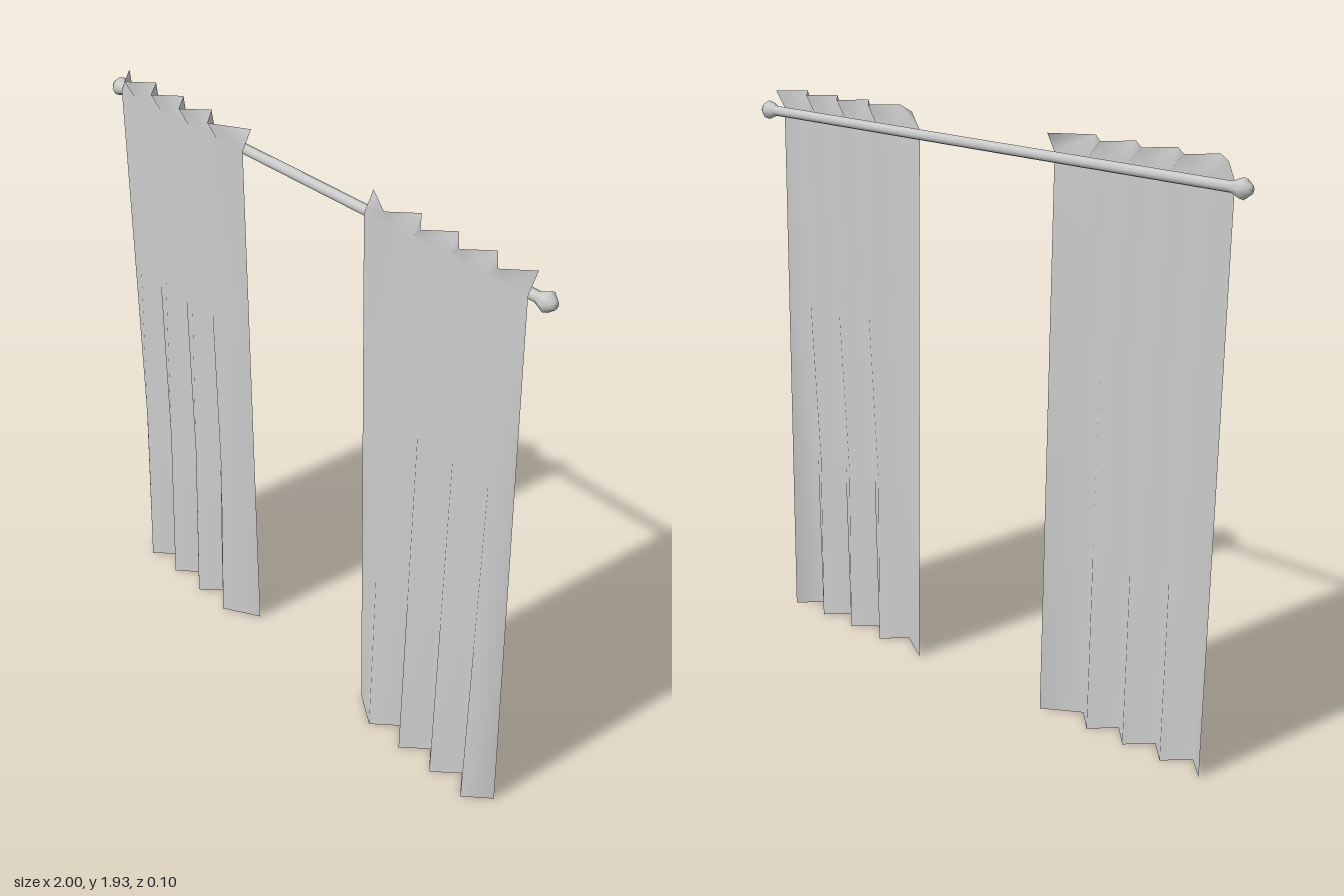
import * as THREE from 'three';

const material = new THREE.MeshStandardMaterial({ color: 0xcccccc });
const clothMaterial = new THREE.MeshStandardMaterial({ color: 0xcccccc, side: THREE.DoubleSide });

const ROD_Y = 1.857, ROD_Z = -0.02;

// Pleated panel: a zigzag across x, gathered flat at the rod, flaring above and below
function curtainGeometry(side) {
  const foldX = [0.28, 0.405, 0.48, 0.553, 0.627, 0.702, 0.775, 0.848, 0.925];
  const rows = [[0, 0.038], [0.62, 0.026], [1.24, 0.014], [1.865, 0.002], [1.928, 0.037]]; // height, fold depth
  const positions = [], index = [], n = foldX.length;
  for (const [y, depth] of rows) {
    foldX.forEach((x, i) => positions.push(side * x, y, 0.01 + (i % 2 ? depth : -depth)));
  }
  for (let r = 0; r < rows.length - 1; r++) {
    for (let i = 0; i < n - 1; i++) {
      const a = r * n + i, b = a + 1, c = a + n, d = c + 1;
      if (side > 0) index.push(a, b, d, a, d, c);
      else index.push(a, d, b, a, c, d);
    }
  }
  const geometry = new THREE.BufferGeometry();
  geometry.setAttribute('position', new THREE.Float32BufferAttribute(positions, 3));
  geometry.setIndex(index);
  geometry.computeVertexNormals();
  return geometry;
}

export function createModel() {
  const group = new THREE.Group();
  const add = (name, geometry, mat = material) => {
    const mesh = new THREE.Mesh(geometry, mat);
    mesh.name = name;
    group.add(mesh);
    return mesh;
  };

  // Rod
  const rod = add('rod', new THREE.CylinderGeometry(0.017, 0.017, 1.88, 8, 1, true));
  rod.rotation.z = Math.PI / 2;
  rod.position.set(0, ROD_Y, ROD_Z);

  // Faceted finial: neck, wide belly, blunt tip
  const profile = [[0.017, 0], [0.032, 0.038], [0.014, 0.063], [0, 0.065]]
    .map(([r, y]) => new THREE.Vector2(r, y));
  const finialGeometry = new THREE.LatheGeometry(profile, 8);

  for (const side of [-1, 1]) {
    const label = side > 0 ? 'left' : 'right';
    const finial = add(label + 'Finial', finialGeometry);
    finial.rotation.z = -side * Math.PI / 2;
    finial.position.set(side * 0.935, ROD_Y, ROD_Z);
    add(label + 'Curtain', curtainGeometry(side), clothMaterial);
  }
  return group;
}
